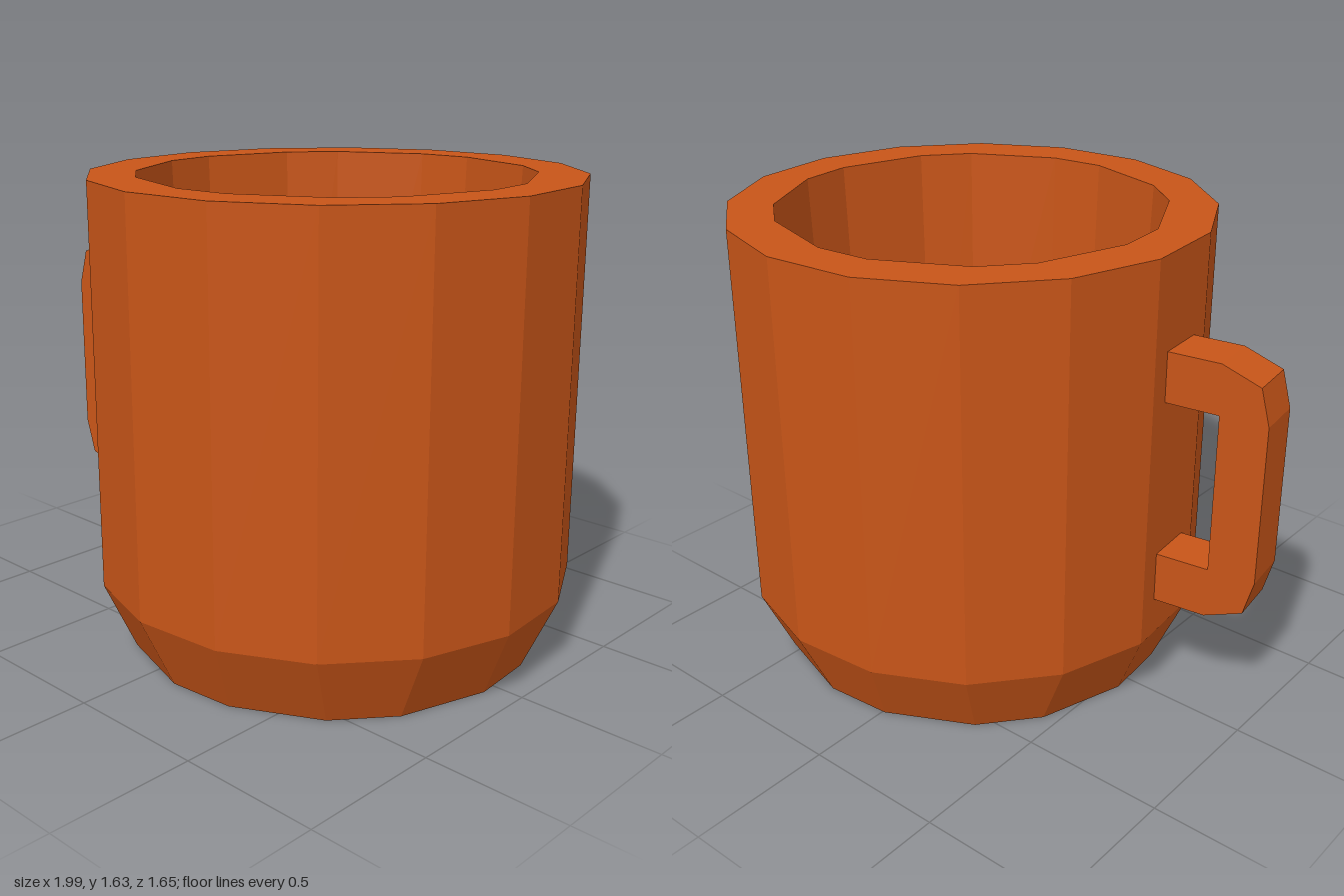
import * as THREE from 'three';

const SIDES = 16;
const TURN = 6.3; // degrees the cup is turned about its axis

// Rings of the cup wall: radius, height, and skew (degrees) pairing neighbouring corners
const RINGS = [
  [0, 0, 0],
  [0.72, 0, 1.7], // foot
  [0.831, 0.25, 0], // top of the foot bevel
  [0.831, 1.628, 0], // outer rim
  [0.668, 1.628, 2.9], // inner rim
  [0.617, 0.2, 2.9], // inside floor
  [0, 0.2, 0],
];

function cupGeometry() {
  const positions = [];
  const index = [];
  for (const [r, y, skew] of RINGS) {
    for (let i = 0; i < SIDES; i++) {
      const deg = TURN + (360 / SIDES) * i + (i % 2 ? skew : -skew);
      const a = THREE.MathUtils.degToRad(deg);
      positions.push(r * Math.cos(a), y, r * Math.sin(a));
    }
  }
  for (let k = 0; k < RINGS.length - 1; k++) {
    for (let i = 0; i < SIDES; i++) {
      const j = (i + 1) % SIDES;
      const a = k * SIDES + i, b = k * SIDES + j;
      const c = a + SIDES, d = b + SIDES;
      if (RINGS[k][0] > 0) index.push(a, c, b);
      if (RINGS[k + 1][0] > 0) index.push(b, c, d);
    }
  }
  const geometry = new THREE.BufferGeometry();
  geometry.setAttribute('position', new THREE.Float32BufferAttribute(positions, 3));
  geometry.setIndex(index);
  const flat = geometry.toNonIndexed();
  flat.computeVertexNormals();
  return flat;
}

// C-shaped outline with chamfered outer corners, extruded across its width
function handleGeometry() {
  const width = 0.174;
  const outline = [
    [0.02, 1.305], [-0.185, 1.305], [-0.32, 1.255], [-0.353, 1.13],
    [-0.353, 0.57], [-0.32, 0.445], [-0.185, 0.39], [0.02, 0.39],
    [0.02, 0.57], [-0.188, 0.57], [-0.188, 1.13], [0.02, 1.13],
  ];
  const shape = new THREE.Shape(outline.map(([x, y]) => new THREE.Vector2(x, y)));
  const geometry = new THREE.ExtrudeGeometry(shape, { depth: width, bevelEnabled: false });
  return geometry.translate(0, 0, -width / 2);
}

export function createModel() {
  const model = new THREE.Group();
  model.name = 'mug';
  const material = new THREE.MeshStandardMaterial({ color: 0xc85518, flatShading: true });

  const cup = new THREE.Mesh(cupGeometry(), material);
  cup.name = 'cup';
  cup.position.set(0.172, 0, -0.003);

  const handle = new THREE.Mesh(handleGeometry(), material);
  handle.name = 'handle';
  handle.position.set(-0.635, 0, 0.068);
  handle.rotation.y = 0.134;

  model.add(cup, handle);
  return model;
}
